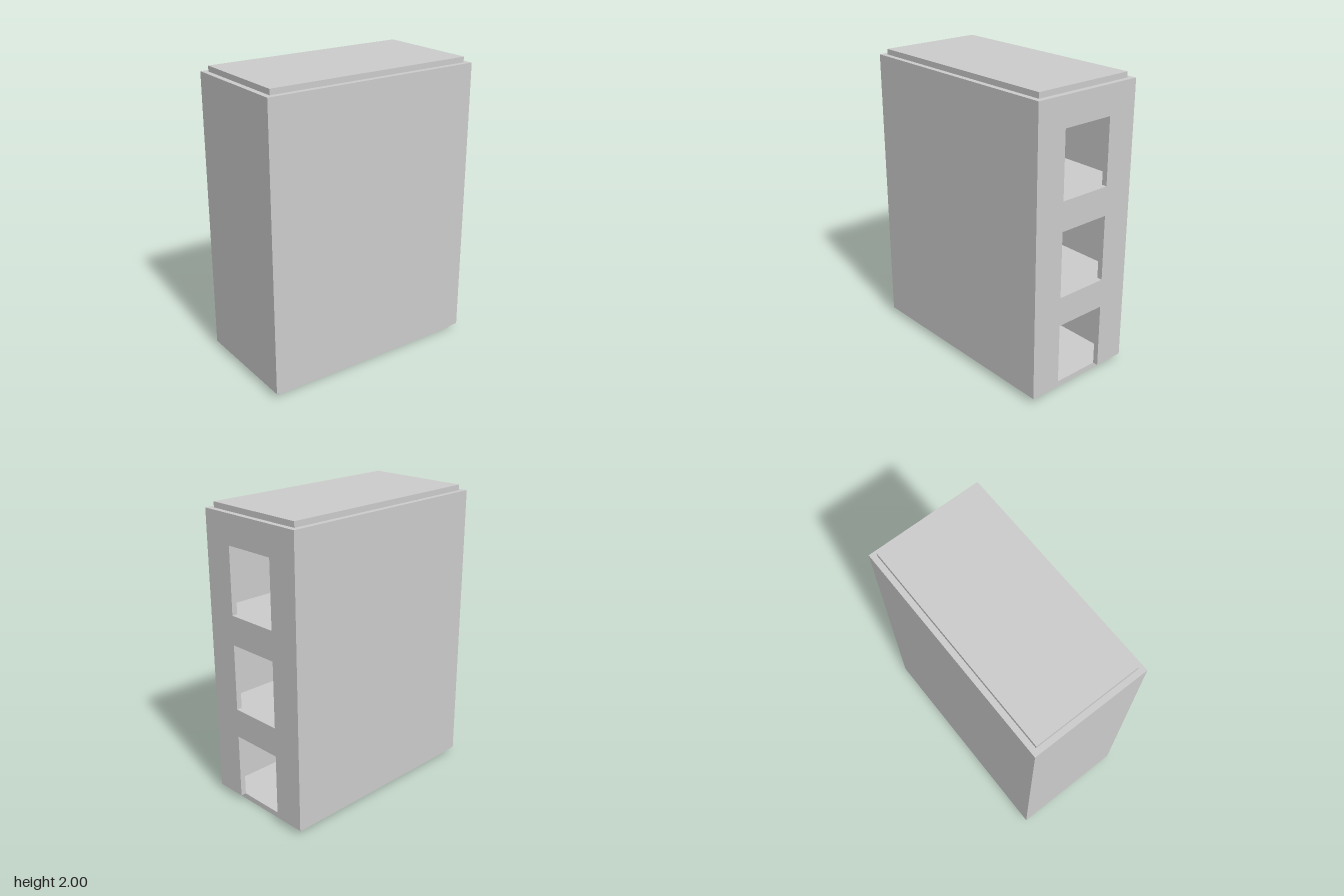
import * as THREE from 'three';

const W = 0.40, D = 0.77, T = 0.037;      // outer half width, half depth, wall thickness
const Y0 = 0.038, Y1 = 1.963;             // wall bottom and top
const STOREYS = 3, RISE = (Y1 - Y0) / STOREYS;
const IW = W - T, ID = D - T;             // inner half sizes
const material = new THREE.MeshStandardMaterial({ color: 0xcccccc });

function add(parent, name, geometry, x = 0, y = 0, z = 0) {
  const mesh = new THREE.Mesh(geometry, material);
  mesh.name = name;
  mesh.position.set(x, y, z);
  parent.add(mesh);
  return mesh;
}

function box(parent, name, x0, x1, y0, y1, z0, z1) {
  return add(parent, name, new THREE.BoxGeometry(x1 - x0, y1 - y0, z1 - z0),
    (x0 + x1) / 2, (y0 + y1) / 2, (z0 + z1) / 2);
}

function polygon(points, Type = THREE.Shape) {
  return new Type(points.map(([x, y]) => new THREE.Vector2(x, y)));
}

export function createModel() {
  const building = new THREE.Group();
  building.name = 'building';

  // Closed walls
  box(building, 'frontWall', -W, W, Y0, Y1, ID, D);
  for (const s of [-1, 1]) {
    const x = s * (W - T / 2);
    box(building, s > 0 ? 'leftWall' : 'rightWall', x - T / 2, x + T / 2, Y0, Y1, -ID, ID);
  }

  // Back wall: a doorway at the bottom and an opening on each upper storey
  const o = 0.185, h = 0.445;
  const back = polygon([[-W, Y0], [-o, Y0], [-o, Y0 + h], [o, Y0 + h], [o, Y0],
    [W, Y0], [W, Y1], [-W, Y1]]);
  for (let i = 1; i < STOREYS; i++) {
    const y = Y0 + i * RISE;
    back.holes.push(polygon([[-o, y], [-o, y + h], [o, y + h], [o, y]], THREE.Path));
  }
  add(building, 'backWall', new THREE.ExtrudeGeometry(back, { depth: T, bevelEnabled: false }), 0, 0, -D);

  // Base and roof slabs
  box(building, 'baseSlab', -IW, IW, 0, Y0, -ID, ID);
  box(building, 'roofSlab', -IW, IW, Y1, 2, -ID, ID);

  // Upper floors with a stairwell, and a straight flight up to each
  const wellX = 0.04, wellZ = -0.24, steps = 15;
  const run = (ID - wellZ) / steps, riser = RISE / steps;
  for (let i = 1; i < STOREYS; i++) {
    const y = Y0 + i * RISE;
    const floor = polygon([[-IW, -ID], [IW, -ID], [IW, wellZ], [wellX, wellZ], [wellX, ID], [-IW, ID]]);
    const slab = new THREE.ExtrudeGeometry(floor, { depth: T, bevelEnabled: false });
    slab.rotateX(Math.PI / 2);
    add(building, 'floorSlab', slab, 0, y, 0);

    const stairs = new THREE.Group();
    stairs.name = 'stairs';
    for (let k = 0; k < steps; k++) {
      const top = y - RISE + (k + 1) * riser;
      const z = ID - k * run;
      box(stairs, 'step', wellX, IW, Math.max(top - 2 * riser, y - RISE), top, z - run, z);
    }
    building.add(stairs);
  }
  return building;
}
